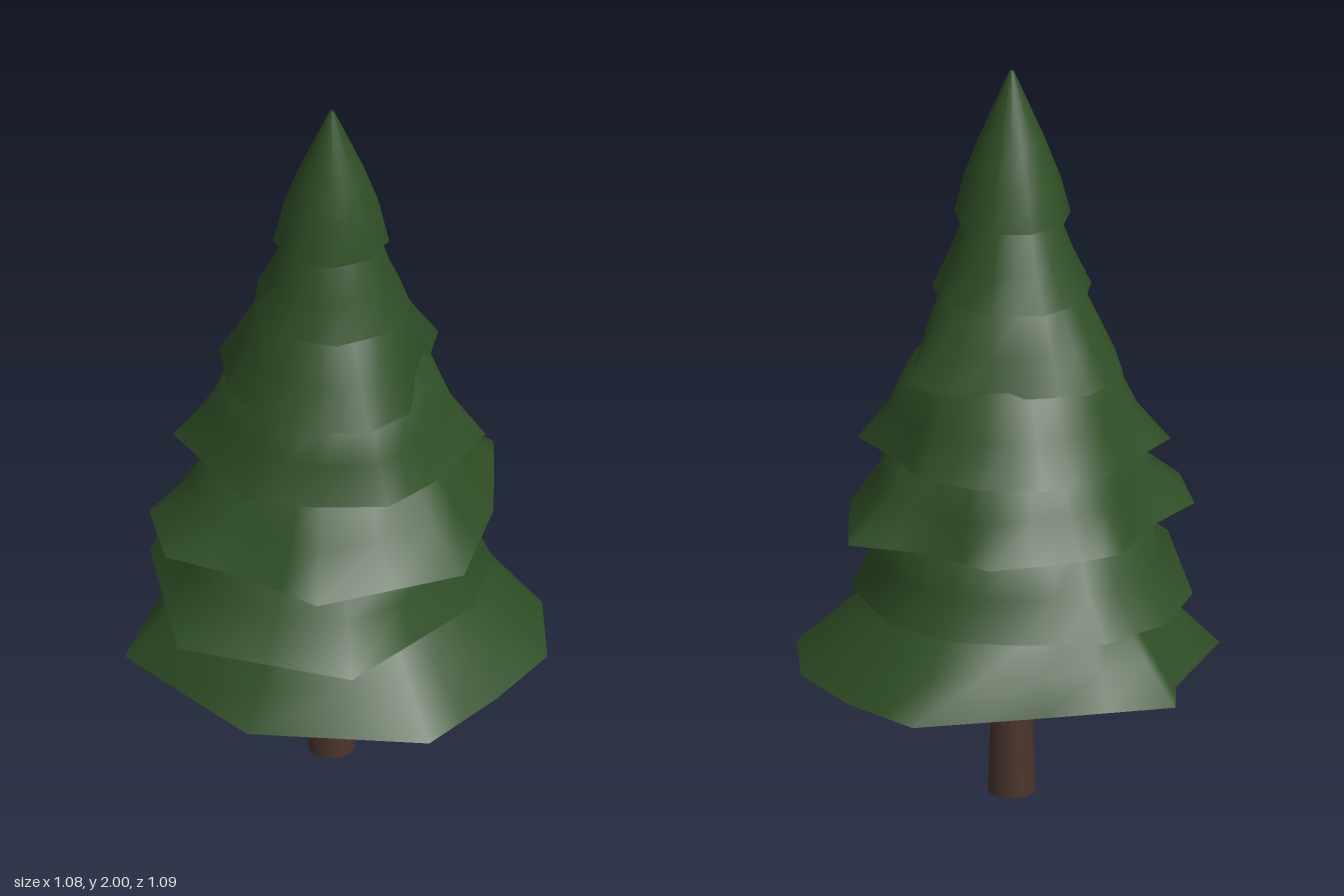
import * as THREE from 'three';

const needles = new THREE.MeshStandardMaterial({ color: 0x2f4f25, side: THREE.DoubleSide });
needles.name = 'needleGreen';
const bark = new THREE.MeshStandardMaterial({ color: 0x4b352c, side: THREE.DoubleSide });
bark.name = 'barkBrown';

// The trunk and all tips share this slightly offset axis
const AXIS = 0.006;

// Even hem corners as [degrees from +x towards +z, radius]
const evenHem = (count, radius, start) =>
  Array.from({ length: count }, (_, i) => [start + (i * 360) / count, radius]);

// Hem corners with the middle of every straight edge added, as x, z points
function subdivideHem(corners) {
  const points = corners.map(([degrees, radius]) => {
    const angle = THREE.MathUtils.degToRad(degrees);
    return new THREE.Vector2(Math.cos(angle), Math.sin(angle)).multiplyScalar(radius);
  });
  return points.flatMap((p, i) => [p, p.clone().lerp(points[(i + 1) % points.length], 0.5)]);
}

// One open skirt of branches: a ragged hem that rounds off towards its tip
function branchTier(y, tipHeight, midRadius, shoulderRadius, corners) {
  const hem = subdivideHem(corners);
  const n = hem.length;
  const mean = hem.reduce((sum, p) => sum + p.length(), 0) / n;
  // height above the hem, mean radius, raggedness left, shift towards the axis
  const rings = [
    [0, mean, 1, 0],
    [0.1, midRadius, 0.5, AXIS / 2],
    [0.21, shoulderRadius, 0.1, AXIS],
    [tipHeight, 0.005, 0, AXIS],
  ];

  const positions = [];
  const indices = [];
  for (const [h, r, ragged, shift] of rings) {
    for (const p of hem) {
      const radius = r * (1 + ragged * (p.length() / mean - 1));
      positions.push(shift + radius * Math.cos(p.angle()), y + h, shift + radius * Math.sin(p.angle()));
    }
  }
  for (let k = 0; k < rings.length - 1; k++) {
    for (let i = 0; i < n; i++) {
      const a = k * n + i, b = k * n + ((i + 1) % n);
      indices.push(a, a + n, b, b, a + n, b + n);
    }
  }
  const geometry = new THREE.BufferGeometry();
  geometry.setAttribute('position', new THREE.Float32BufferAttribute(positions, 3));
  geometry.setIndex(indices);
  geometry.computeVertexNormals();
  return new THREE.Mesh(geometry, needles);
}

export function createModel() {
  const tree = new THREE.Group();
  tree.name = 'pineTree';

  // Tapered hollow trunk running up inside the branches
  const trunk = new THREE.Mesh(new THREE.CylinderGeometry(0.034, 0.062, 0.8, 12, 1, true), bark);
  trunk.position.set(AXIS, 0.4, AXIS);
  trunk.name = 'trunk';
  tree.add(trunk);

  // Branch tiers from the bottom up
  const tiers = [
    branchTier(0.365, 0.6, 0.44, 0.345, [
      [4, 0.537], [31, 0.585], [81, 0.53], [133, 0.55], [170, 0.465], [185, 0.542], [225, 0.425],
      [264, 0.55], [289, 0.53], [315, 0.558], [340, 0.575]]),
    branchTier(0.572, 0.57, 0.385, 0.355, [
      [51, 0.54], [102, 0.56], [153, 0.47], [180, 0.486], [206, 0.485], [234, 0.43],
      [259, 0.44], [284, 0.425], [324, 0.42], [356, 0.42]]),
    branchTier(0.778, 0.53, 0.355, 0.31, [
      [13, 0.497], [61, 0.5], [88, 0.43], [114, 0.51], [139, 0.475], [169, 0.365], [192, 0.42],
      [210, 0.405], [244, 0.435], [270, 0.37], [296, 0.49], [313, 0.435], [336, 0.425]]),
    branchTier(0.98, 0.5, 0.305, 0.265, [
      [8, 0.35], [33, 0.37], [64, 0.345], [93, 0.38], [146, 0.41], [170, 0.35], [198, 0.38],
      [224, 0.39], [250, 0.38], [276, 0.38], [297, 0.335], [328, 0.4]]),
    branchTier(1.188, 0.47, 0.24, 0.185, [
      [14, 0.295], [39, 0.32], [65, 0.31], [90, 0.31], [126, 0.285], [162, 0.3], [194, 0.305],
      [227, 0.26], [272, 0.29], [297, 0.32], [328, 0.245]]),
    branchTier(1.395, 0.43, 0.16, 0.12, evenHem(9, 0.21, 13)),
    branchTier(1.602, 0.398, 0.125, 0.085, evenHem(9, 0.153, 17)),
  ];
  tiers.forEach((tier, i) => {
    tier.name = `branchTier${i + 1}`;
    tree.add(tier);
  });
  return tree;
}
